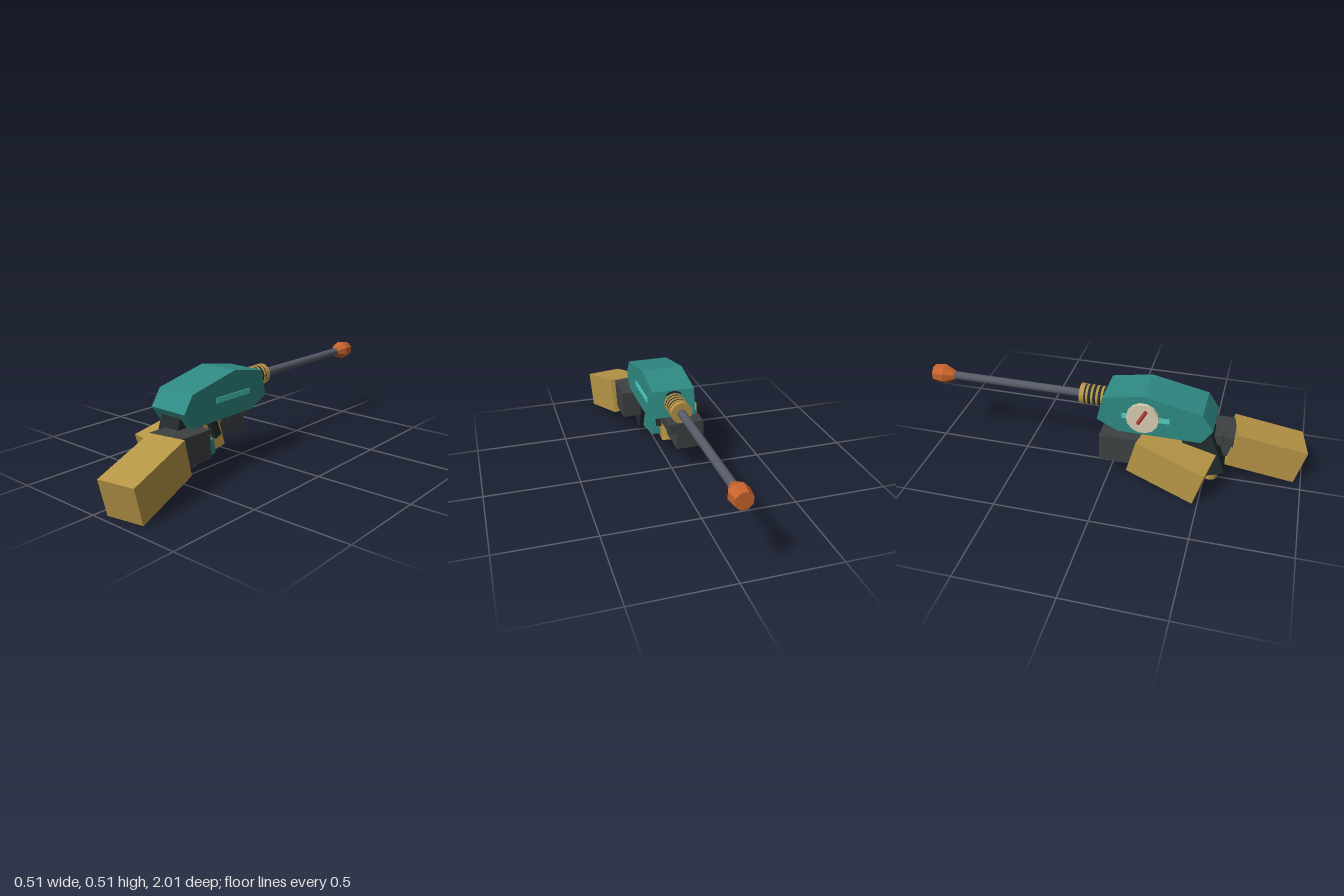
import * as THREE from 'three';

const material = (name, color) => {
  const m = new THREE.MeshStandardMaterial({ color });
  m.name = name;
  return m;
};

export function createModel() {
  const model = new THREE.Group();
  model.name = 'heldDevice';
  const teal = material('teal', 0x2f8a83);
  const gold = material('gold', 0xb89647);
  const dark = material('darkGrip', 0x222b2c);
  const grey = material('charcoal', 0x3e4142);
  const steel = material('steel', 0x565b66);
  const orange = material('orange', 0xc8642c);
  const cream = material('cream', 0xd8ccb0);
  const red = material('red', 0xb03c30);
  const glow = material('aqua', 0x4fd0c0);

  const add = (parent, name, geometry, mat, x, y, z) => {
    const mesh = new THREE.Mesh(geometry, mat);
    mesh.name = name;
    mesh.position.set(x, y, z);
    parent.add(mesh);
    return mesh;
  };
  const box = (parent, name, mat, w, h, d, x, y, z, tilt = 0, yaw = 0) => {
    const mesh = add(parent, name, new THREE.BoxGeometry(w, h, d), mat, x, y, z);
    mesh.rotation.set(tilt, yaw, 0, 'YXZ');
    return mesh;
  };
  // Cylinder lying along z
  const rod = (name, mat, r, z0, z1, sides = 16) => {
    const g = new THREE.CylinderGeometry(r, r, Math.abs(z1 - z0), sides).rotateX(-Math.PI / 2);
    return add(model, name, g, mat, 0, 0.411, (z0 + z1) / 2);
  };

  // Faceted main housing, profile in z and y
  const profile = [[0.535, 0.365], [0.48, 0.285], [0.05, 0.285], [-0.06, 0.34],
    [-0.03, 0.474], [0.18, 0.512], [0.478, 0.45]];
  const shape = new THREE.Shape(profile.map(([z, y]) => new THREE.Vector2(z, y)));
  const housing = new THREE.ExtrudeGeometry(shape, { depth: 0.22, bevelEnabled: false });
  housing.translate(0, 0, -0.11).rotateY(-Math.PI / 2);
  add(model, 'housing', housing, teal, 0, 0, 0);
  for (const s of [1, -1]) box(model, 'sideStripe', glow, 0.008, 0.028, 0.245, s * 0.11, 0.386, 0.193);

  // Dial with a slanted handle on the right side
  const dial = new THREE.CylinderGeometry(0.084, 0.084, 0.02, 14).rotateZ(Math.PI / 2);
  add(model, 'dial', dial, cream, -0.119, 0.391, 0.18);
  const handle = add(model, 'dialHandle', new THREE.CylinderGeometry(0.01, 0.01, 0.083, 10), red, -0.139, 0.406, 0.18);
  handle.rotation.x = 0.5;

  // Ringed neck, barrel and nozzle
  rod('neckCollar', dark, 0.061, 0, -0.035);
  rod('neckCore', dark, 0.051, -0.03, -0.15);
  for (let i = 0; i < 4; i++) rod('neckRing', gold, 0.054, -0.045 - i * 0.027, -0.057 - i * 0.027);
  rod('neckEnd', gold, 0.055, -0.147, -0.172);
  rod('barrel', steel, 0.022, -0.16, -0.9);
  const tip = [[0, 0], [0.024, 0], [0.052, 0.058], [0.044, 0.12], [0, 0.12]];
  const nozzle = new THREE.LatheGeometry(tip.map(([r, h]) => new THREE.Vector2(r, h)), 8)
    .rotateY(Math.PI / 8).rotateX(-Math.PI / 2).toNonIndexed();
  nozzle.computeVertexNormals();
  add(model, 'nozzle', nozzle, orange, 0, 0.411, -0.88);

  // Grip, foot, lower block and trigger
  box(model, 'grip', dark, 0.126, 0.275, 0.16, 0, 0.181, 0.485, -0.35);
  add(model, 'gripFoot', new THREE.CylinderGeometry(0.04, 0.04, 0.1, 14), gold, 0, 0.053, 0.53);
  box(model, 'lowerBlock', teal, 0.08, 0.08, 0.22, 0, 0.105, 0.365, 0.19);
  box(model, 'trigger', dark, 0.045, 0.14, 0.045, 0, 0.222, 0.233, 0.38);

  // Forearms and hands, mirrored and staggered along z
  for (const [side, s, z] of [['left', 1, 0], ['right', -1, -0.455]]) {
    const arm = new THREE.Group();
    arm.name = side + 'Arm';
    arm.position.z = z;
    model.add(arm);
    box(arm, 'forearm', gold, 0.197, 0.196, 0.378, s * 0.123, 0.143, 0.79, 0.262, s * 0.175);
    box(arm, 'palm', grey, 0.147, 0.148, 0.215, s * 0.0915, 0.206, 0.5275);
    for (let i = 0; i < 4; i++) {
      box(arm, 'finger', grey, 0.05, 0.055, 0.05, s * 0.003, 0.251, 0.448 + i * 0.054);
    }
  }
  return model;
}
